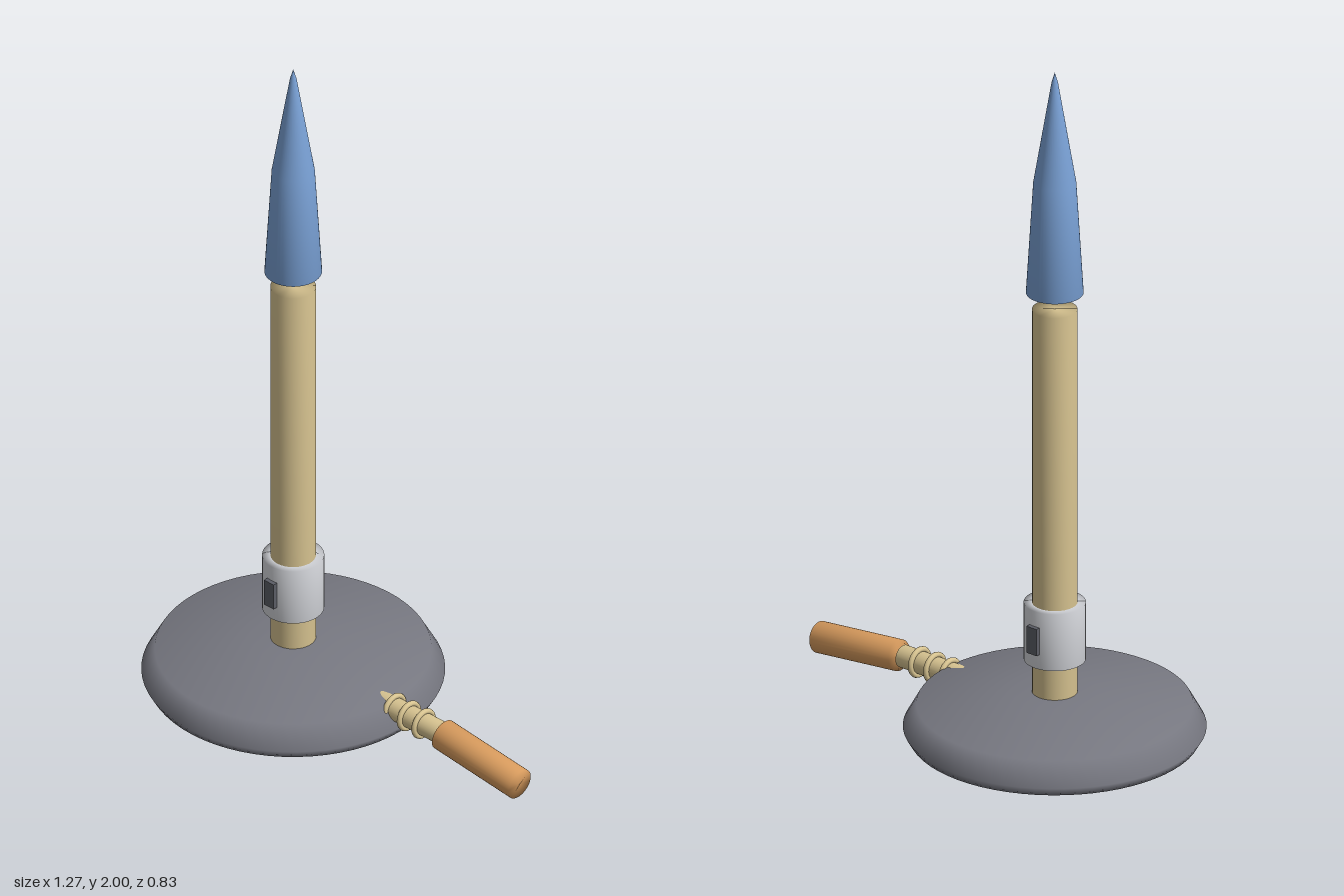
import * as THREE from 'three';

const material = (name, color) => {
  const m = new THREE.MeshStandardMaterial({ color });
  m.name = name;
  return m;
};

export function createModel() {
  const group = new THREE.Group();
  const iron = material('dark iron', 0x777881);
  const brass = material('brass', 0xd8c491);
  const steel = material('pale steel', 0xd3d5da);
  const slotGrey = material('slot grey', 0x5c5e66);
  const rubber = material('orange rubber', 0xd99c5e);
  const blue = material('flame blue', 0x7ba3d8);

  const add = (name, geometry, mat, x = 0, y = 0, z = 0) => {
    const mesh = new THREE.Mesh(geometry, mat);
    mesh.name = name;
    mesh.position.set(x, y, z);
    group.add(mesh);
    return mesh;
  };
  const lathe = (points, segments = 48) =>
    new THREE.LatheGeometry(points.map(([r, y]) => new THREE.Vector2(r, y)), segments);
  // closed, softly shaded rod running from y0 to y1
  const rod = (r, y0, y1) => lathe([[0, y0], [r, y0], [r, y1], [0, y1]], 32);

  const cx = -0.22; // axis of the upright parts

  // heavy round foot
  add('base', lathe([
    [0, 0.012], [0.4, 0.012], [0.415, 0.038], [0.378, 0.105], [0.118, 0.142], [0, 0.142],
  ], 64), iron, cx);

  // upright tube with its air collar
  add('barrel', rod(0.0625, 0.13, 1.29), brass, cx);
  add('airCollar', lathe([
    [0.06, 0.24], [0.085, 0.24], [0.085, 0.41], [0.06, 0.41],
  ]), steel, cx);
  for (const side of [1, -1]) {
    add('airSlot', new THREE.BoxGeometry(0.036, 0.08, 0.02), slotGrey, cx, 0.325, side * 0.087);
  }

  // flame above the barrel mouth
  add('flame', lathe([
    [0, 1.305], [0.079, 1.34], [0.059, 1.67], [0.009, 1.97], [0, 2],
  ]), blue, cx);

  // gas inlet with ribs
  const inletY = 0.08;
  add('gasInlet', rod(0.032, -0.17, 0.17), brass, 0.16, inletY).rotation.z = -Math.PI / 2;
  for (const x of [0.16, 0.215, 0.27]) {
    add('inletRib', new THREE.TorusGeometry(0.037, 0.008, 10, 32), brass, x, inletY)
      .rotation.y = Math.PI / 2;
  }

  // short drooping hose
  const start = new THREE.Vector3(0.344, 0.078, 0);
  const end = new THREE.Vector3(0.631, 0.046, 0);
  const hose = add('hose', rod(0.0445, 0, start.distanceTo(end)), rubber, start.x, start.y);
  hose.quaternion.setFromUnitVectors(
    new THREE.Vector3(0, 1, 0), end.clone().sub(start).normalize());

  return group;
}
